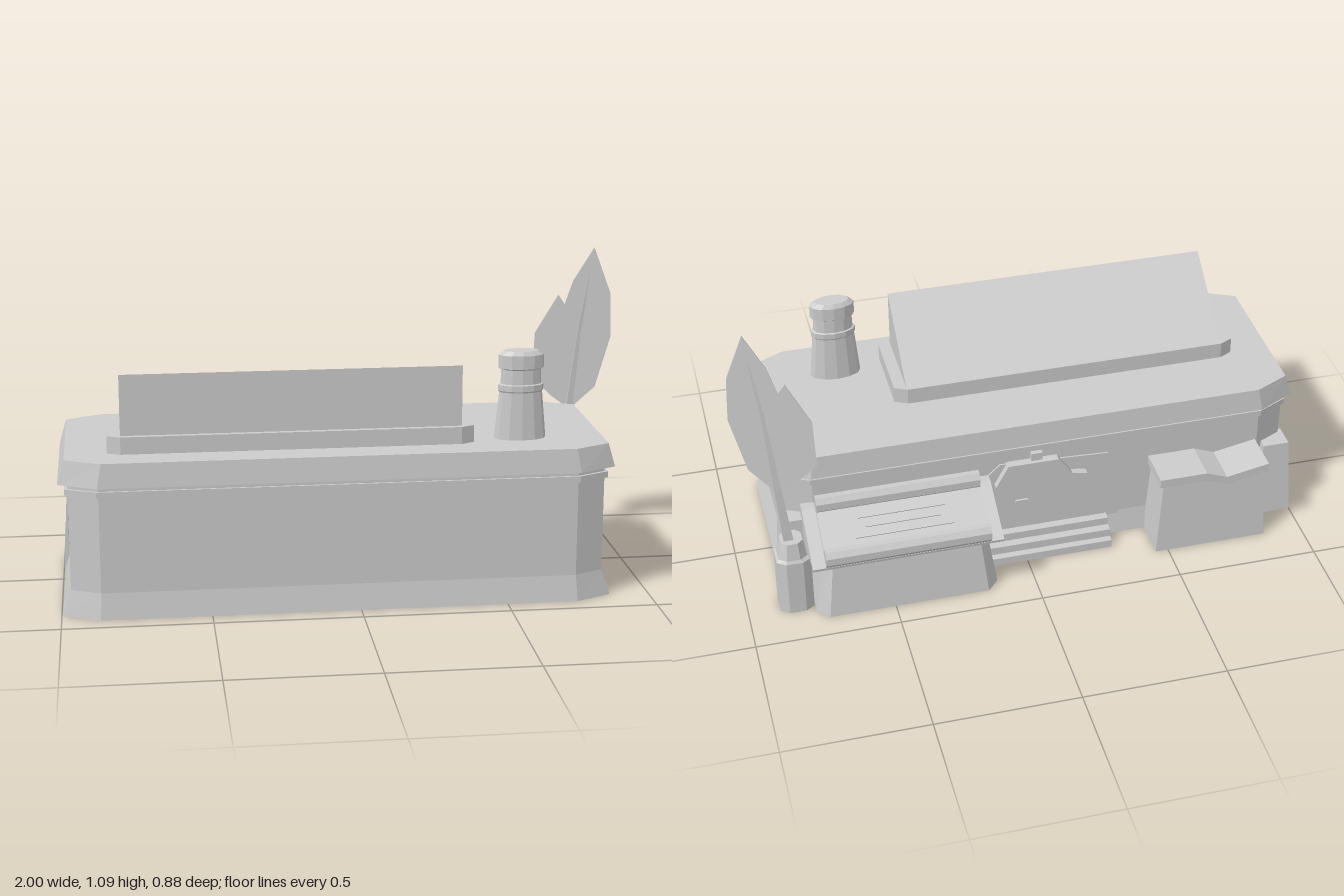
import * as THREE from 'three';

const stone = new THREE.MeshStandardMaterial({ color: 0xcccccc, side: THREE.DoubleSide });
stone.name = 'lightGrey';

// Outline of a rectangle with optional cut corners, as [x, z] points
function ring(x0, x1, z0, z1, cx = 0, cz = 0) {
  if (!cx) return [[x1, z1], [x1, z0], [x0, z0], [x0, z1]];
  return [[x1, z1 - cz], [x1, z0 + cz], [x1 - cx, z0], [x0 + cx, z0],
    [x0, z0 + cz], [x0, z1 - cz], [x0 + cx, z1], [x1 - cx, z1]];
}

// Solid through [height, outline] levels, bottom to top; hollow ones have no underside
function loft(levels, hollow = false) {
  const pos = [], n = levels[0][1].length;
  const put = (l, i) => pos.push(levels[l][1][i % n][0], levels[l][0], levels[l][1][i % n][1]);
  for (let l = 0; l < levels.length - 1; l++) {
    for (let i = 0; i < n; i++) {
      put(l, i); put(l, i + 1); put(l + 1, i + 1);
      put(l, i); put(l + 1, i + 1); put(l + 1, i);
    }
  }
  const top = levels.length - 1;
  for (let i = 1; i < n - 1; i++) {
    put(top, 0); put(top, i); put(top, i + 1);
    if (!hollow) { put(0, 0); put(0, i + 1); put(0, i); }
  }
  const g = new THREE.BufferGeometry();
  g.setAttribute('position', new THREE.Float32BufferAttribute(pos, 3));
  g.computeVertexNormals();
  return g;
}

function flat(g) {
  const f = g.index ? g.toNonIndexed() : g;
  f.computeVertexNormals();
  return f;
}

const shape = points => new THREE.Shape(points.map(p => new THREE.Vector2(p[0], p[1])));

// [x, y] outline extruded from z0 to z1
function prismZ(points, z0, z1) {
  return new THREE.ExtrudeGeometry(shape(points), { depth: z1 - z0, bevelEnabled: false }).translate(0, 0, z0);
}

// [z, y] outline extruded from x0 to x1
function prismX(points, x0, x1) {
  return prismZ(points.map(([z, y]) => [-z, y]), x0, x1).rotateY(Math.PI / 2);
}

function block(x0, x1, y0, y1, z0, z1) {
  return new THREE.BoxGeometry(x1 - x0, y1 - y0, z1 - z0)
    .translate((x0 + x1) / 2, (y0 + y1) / 2, (z0 + z1) / 2);
}

export function createModel() {
  const model = new THREE.Group();
  model.name = 'building';
  const add = (name, g, parent = model) => {
    const m = new THREE.Mesh(g, stone);
    m.name = name;
    parent.add(m);
  };

  // Walls with flared hollow plinth, raised floor, moulding and roof slab
  const wall = ring(-0.967, 0.835, -0.205, 0.42, 0.1, 0.048);
  add('walls', loft([
    [0, ring(-0.995, 0.866, -0.22, 0.434, 0.125, 0.058)], [0.09, wall], [0.46, wall]], true));
  add('floor', loft([[0.085, wall], [0.09, wall]]));
  const mould = ring(-0.978, 0.846, -0.211, 0.428, 0.105, 0.05);
  add('moulding', loft([[0.42, mould], [0.441, mould]]));
  add('roof', loft([
    [0.456, ring(-1, 0.87, -0.225, 0.44, 0.13, 0.065)],
    [0.538, ring(-0.976, 0.846, -0.215, 0.43, 0.12, 0.058)]]));

  // Skylight
  const curb = ring(-0.835, 0.397, 0.008, 0.325, 0.045, 0.022);
  add('skylightFrame', loft([[0.535, curb], [0.597, curb]]));
  add('skylight', prismX([[0.02, 0.595], [0.307, 0.595], [0.307, 0.805]], -0.79, 0.355));

  // Oval chimney
  const profile = [[0, 0.53], [0.09, 0.53], [0.074, 0.7], [0.078, 0.705], [0.078, 0.725], [0.07, 0.728],
    [0.068, 0.778], [0.078, 0.782], [0.078, 0.828], [0.06, 0.842], [0, 0.842]];
  add('chimney', flat(new THREE.LatheGeometry(profile.map(p => new THREE.Vector2(p[0], p[1])), 12)
    .scale(1, 1, 0.52).translate(0.563, 0, 0.26)));

  // End windows, flat plates facing outward
  const w = 0.063, h = 0.075, a = 0.022, b = 0.035;
  const pane = shape([[-w, -b], [-a, -h], [a, -h], [w, -b], [w, b], [a, h], [-a, h], [-w, b]]);
  for (const [x, turn] of [[0.838, 1], [-0.97, -1]]) {
    for (const z of [0.218, -0.002]) {
      add('window', new THREE.ShapeGeometry(pane).rotateY(turn * Math.PI / 2).translate(x, 0.265, z));
    }
  }

  // Back corner buttresses
  for (const x of [-0.935, 0.805]) {
    add('buttress', loft([
      [0, ring(x - 0.065, x + 0.065, -0.245, -0.127)],
      [0.292, ring(x - 0.047, x + 0.047, -0.228, -0.142)]], true));
  }

  // Back door with hood, lamp and latch
  add('door', prismZ([[0.12, 0.08], [0.12, 0.34], [0.08, 0.38], [-0.31, 0.36],
    [-0.355, 0.31], [-0.355, 0.08]], -0.211, -0.203));
  add('doorHood', prismZ([[0.1, 0.3], [0.055, 0.385], [-0.125, 0.385], [-0.175, 0.315], [-0.23, 0.305],
    [-0.23, 0.285], [-0.16, 0.295], [-0.112, 0.362], [0.04, 0.362], [0.08, 0.3]], -0.235, -0.205));
  add('lamp', block(-0.07, -0.03, 0.385, 0.415, -0.222, -0.205));
  add('latch', block(-0.02, 0.025, 0.195, 0.215, -0.219, -0.205));

  // Steps
  [-0.295, -0.27, -0.24].forEach((z, i) =>
    add('step', block(-0.31, 0.14, i * 0.03, (i + 1) * 0.03, z, -0.2)));

  // Sloping desk
  add('deskBase', loft([
    [0, ring(0.13, 0.77, -0.415, -0.16, 0.04, 0.045)],
    [0.228, ring(0.165, 0.735, -0.388, -0.16, 0.03, 0.03)]], true));
  add('deskTop', prismX([[-0.2, 0.225], [-0.43, 0.225], [-0.432, 0.235], [-0.235, 0.34], [-0.2, 0.34]], 0.12, 0.78));

  // Sheet with rolled ends
  const scroll = new THREE.Group();
  scroll.name = 'scroll';
  scroll.position.set(0.45, 0.306, -0.335);
  scroll.rotation.x = -0.53;
  model.add(scroll);
  add('sheet', new THREE.BoxGeometry(0.57, 0.016, 0.19), scroll);
  [0.34, 0.26, 0.3].forEach((len, i) =>
    add('inkLine', new THREE.BoxGeometry(len, 0.006, 0.009).translate(0, 0.01, (i - 1) * 0.035), scroll));
  for (const [y, z] of [[0.37, -0.255], [0.266, -0.42]]) {
    add('scrollRoll', flat(new THREE.CylinderGeometry(0.029, 0.029, 0.57, 8)
      .rotateZ(Math.PI / 2).rotateX(Math.PI / 8).scale(1, 1.2, 0.88).translate(0.45, y, z)));
  }

  // Stand with an open book on top
  add('bookStand', loft([
    [0, ring(-0.862, -0.455, -0.36, -0.2)], [0.275, ring(-0.842, -0.475, -0.345, -0.2)]], true));
  add('book', prismZ([[-0.858, 0.285], [-0.705, 0.255], [-0.63, 0.285], [-0.46, 0.285],
    [-0.46, 0.318], [-0.63, 0.318], [-0.705, 0.288], [-0.858, 0.318]], -0.358, -0.21));

  // Ink pot
  const pot = ring(0.772, 0.89, -0.361, -0.25, 0.03, 0.02);
  add('inkPot', loft([[0, pot], [0.215, pot],
    [0.225, ring(0.785, 0.882, -0.355, -0.257, 0.025, 0.02)],
    [0.288, ring(0.795, 0.87, -0.345, -0.268, 0.02, 0.018)]], true));

  // Feather blade, slanted in plan and leaning forward, and its tapering shaft
  const blade = prismZ([[0.865, 0.485], [0.95, 0.575], [0.998, 0.77], [0.99, 0.93], [0.93, 1.094],
    [0.862, 0.97], [0.835, 0.88], [0.812, 0.915], [0.735, 0.77], [0.73, 0.6], [0.8, 0.53]], -0.003, 0.003);
  const p = blade.attributes.position;
  for (let i = 0; i < p.count; i++) {
    p.setZ(i, p.getZ(i) - 0.288 + (p.getX(i) - 0.87) * 0.31 + (p.getY(i) - 0.75) * 0.04);
  }
  add('feather', flat(blade));
  const at = (x, y, z, r) => [y, ring(x - r, x + r, z - r, z + r)];
  add('featherShaft', loft([at(0.84, 0.27, -0.306, 0.017), at(0.862, 0.5, -0.3, 0.012),
    at(0.89, 0.8, -0.28, 0.006), at(0.918, 0.99, -0.264, 0.003)]));

  return model;
}
